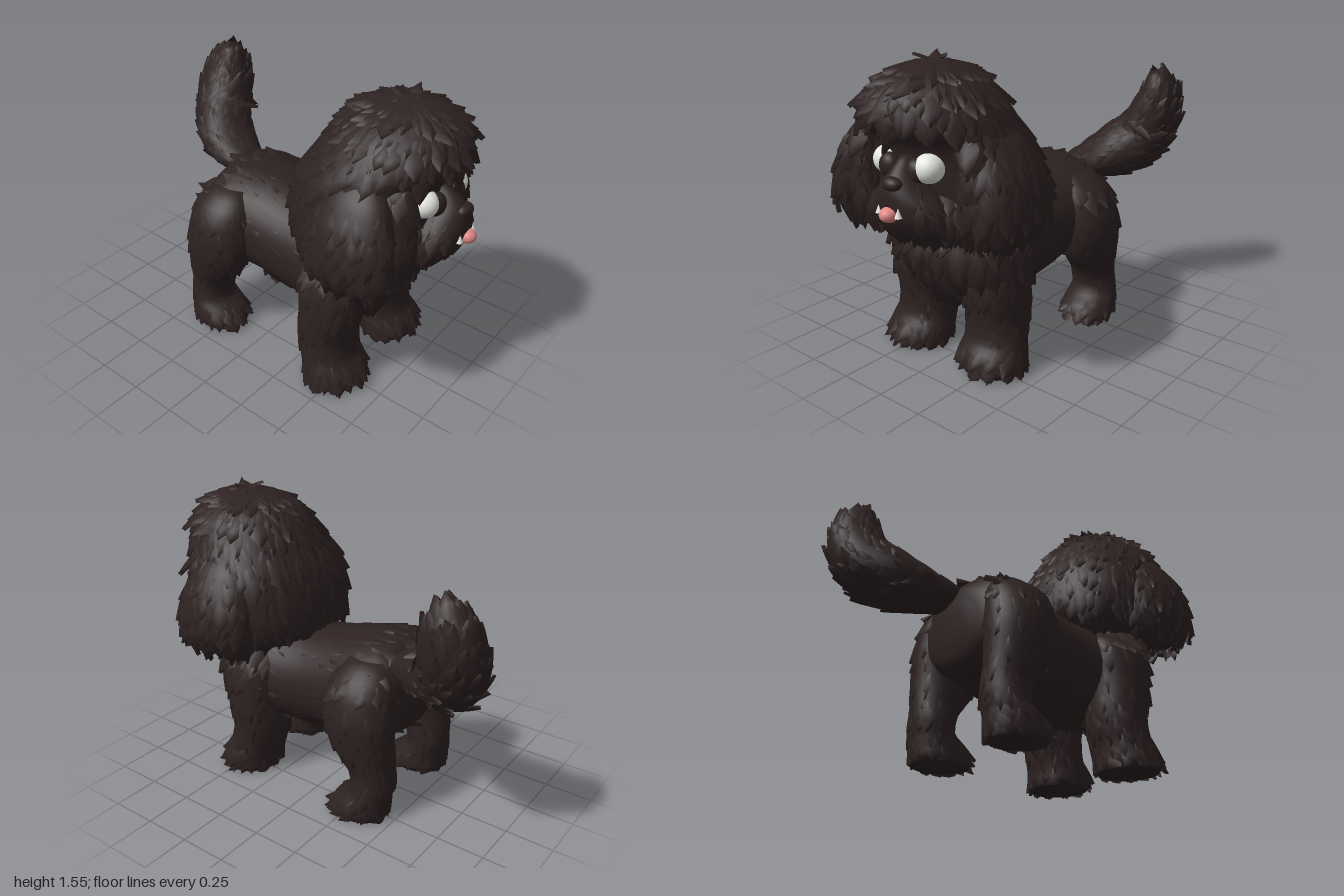
import * as THREE from 'three';
import { mergeGeometries } from 'three/addons/utils/BufferGeometryUtils.js';

const V = (x, y, z) => new THREE.Vector3(x, y, z);
const material = (name, color, extra = {}) => new THREE.MeshStandardMaterial({ name, color, ...extra });

function seeded(seed) {
  return () => {
    seed = (seed * 16807) % 2147483647;
    return seed / 2147483647;
  };
}

// Surface through elliptical rings [x, y, z, radiusU, radiusV].
// Mode 'y': rings lie flat; 'z': rings face forward; 'path': rings follow the curve.
function ringSurface(rows, mode) {
  const spine = new THREE.CatmullRomCurve3(rows.map(r => V(r[0], r[1], r[2])));
  const radii = new THREE.CatmullRomCurve3(rows.map(r => V(r[3], r[4], 0)));
  const point = (t, a, k = 1) => {
    const u = V(1, 0, 0);
    const v = mode === 'z' ? V(0, 1, 0) : V(0, 0, 1);
    if (mode === 'path') {
      const tan = spine.getTangent(t);
      u.addScaledVector(tan, -tan.x).normalize();
      v.crossVectors(tan, u);
    }
    const r = radii.getPoint(t);
    return spine.getPoint(t)
      .addScaledVector(u, r.x * k * Math.cos(a))
      .addScaledVector(v, r.y * k * Math.sin(a));
  };
  const normal = (t, a) => {
    const da = point(t, a + 0.02).sub(point(t, a - 0.02));
    const dt = point(Math.min(1, t + 0.01), a).sub(point(Math.max(0, t - 0.01), a));
    const n = da.cross(dt).normalize();
    return n.dot(point(t, a).sub(spine.getPoint(t))) < 0 ? n.negate() : n;
  };
  return { point, normal };
}

function gridGeometry(rows, flip) {
  const cols = rows[0].length, pos = [], index = [];
  rows.flat().forEach(p => pos.push(p.x, p.y, p.z));
  for (let i = 0; i < rows.length - 1; i++) {
    for (let j = 0; j < cols - 1; j++) {
      const a = i * cols + j, b = a + 1, c = a + cols, d = c + 1;
      index.push(...(flip ? [a, b, c, b, d, c] : [a, c, b, b, c, d]));
    }
  }
  const geo = new THREE.BufferGeometry();
  geo.setAttribute('position', new THREE.Float32BufferAttribute(pos, 3));
  geo.setIndex(index);
  geo.computeVertexNormals();
  return geo;
}

// Smooth closed core under the fur
function coreGeometry(surface, segT = 24, segA = 32) {
  const rows = [];
  for (let i = -1; i <= segT + 1; i++) {
    const t = Math.min(1, Math.max(0, i / segT));
    const k = i < 0 || i > segT ? 0 : 1;
    rows.push(Array.from({ length: segA + 1 }, (_, j) => surface.point(t, j / segA * Math.PI * 2, k)));
  }
  const p = surface.point(0.5, 0);
  const da = surface.point(0.5, 0.1).sub(p), dt = surface.point(0.55, 0).sub(p);
  return gridGeometry(rows, da.cross(dt).dot(surface.normal(0.5, 0)) > 0);
}

// One pointed, ridged lock of hair
function lockGeometry(p, n, dir, length, width, lift) {
  const side = n.clone().cross(dir).normalize();
  const widths = [0.5, 1, 0.75, 0.02];
  const rows = widths.map((w, k) => {
    const s = k / 3;
    const c = p.clone().addScaledVector(dir, length * (s - 0.2))
      .addScaledVector(n, lift * (2.4 * s - 1.6 * s * s) - 0.006);
    return [-1, 0, 1].map(e => {
      const q = c.clone().addScaledVector(side, e * w * width / 2)
        .addScaledVector(n, e ? -0.12 * width : 0.08 * width);
      q.y = Math.max(q.y, 0.012);
      return q;
    });
  });
  return gridGeometry(rows, true);
}

// Core plus staggered rows of locks lying along the surface
function furryGeometry(rows, mode, fur) {
  const surface = ringSurface(rows, mode);
  const parts = [coreGeometry(surface)];
  const rand = seeded(fur.seed);
  const { from = 0.05, to = 0.94, skip = () => false } = fur;
  for (let i = 0; i < fur.rows; i++) {
    for (let j = 0; j < fur.around; j++) {
      const t = from + (to - from) * (i + 0.6 * rand()) / fur.rows;
      const a = (j + (i % 2) / 2 + 0.5 * rand()) / fur.around * Math.PI * 2;
      const size = 0.7 + 0.6 * rand(), sway = (rand() - 0.5) * 0.6;
      const p = surface.point(t, a), n = surface.normal(t, a);
      if (skip(p)) continue;
      const dir = surface.point(Math.min(1, t + 0.02), a).sub(surface.point(t - 0.02, a));
      dir.addScaledVector(n, -dir.dot(n)).normalize().applyAxisAngle(n, sway);
      parts.push(lockGeometry(p, n, dir, fur.length * size, fur.width * size, fur.lift * size));
    }
  }
  return mergeGeometries(parts);
}

export function createModel() {
  const model = new THREE.Group();
  model.name = 'shaggyDog';
  const furMat = material('darkBrownFur', 0x2d2121, { side: THREE.DoubleSide });
  const whiteMat = material('eyeWhite', 0xe6e6e2);
  const tongueMat = material('pinkTongue', 0xdd8785);

  const add = (name, geo, mat) => {
    const mesh = new THREE.Mesh(geo, mat);
    mesh.name = name;
    model.add(mesh);
    return mesh;
  };
  const furry = (name, rows, mode, fur) => add(name, furryGeometry(rows, mode, fur), furMat);
  const ball = (name, mat, pos, size) => {
    const mesh = add(name, new THREE.SphereGeometry(1, 24, 16), mat);
    mesh.position.set(...pos);
    mesh.scale.set(...size);
  };

  // Trunk, sleek and widening into the hips
  furry('body', [
    [0, 0.62, 0.66, 0.13, 0.13], [0, 0.61, 0.58, 0.27, 0.25], [0, 0.57, 0.4, 0.32, 0.28],
    [0, 0.565, 0.15, 0.295, 0.285], [0, 0.605, -0.08, 0.305, 0.285], [-0.01, 0.64, -0.26, 0.35, 0.275],
    [-0.01, 0.645, -0.38, 0.335, 0.25], [0, 0.635, -0.45, 0.24, 0.185], [0, 0.63, -0.475, 0.1, 0.08],
  ], 'z', { rows: 10, around: 16, length: 0.16, width: 0.11, lift: 0, to: 0.72, seed: 11 });

  // Shaggy chest and shoulders
  furry('chestRuff', [
    [0, 0.86, 0.45, 0.2, 0.16], [0, 0.75, 0.47, 0.32, 0.22], [0, 0.62, 0.475, 0.355, 0.23],
    [0, 0.5, 0.45, 0.345, 0.2], [0, 0.39, 0.43, 0.29, 0.15], [0, 0.33, 0.42, 0.2, 0.1],
  ], 'y', { rows: 8, around: 22, length: 0.17, width: 0.1, lift: 0.016, to: 0.86, seed: 23 });

  // Legs with broad paws
  for (const s of [1, -1]) {
    const side = s > 0 ? 'left' : 'right';
    const place = rows => rows.map(([x, ...rest]) => [s * x - 0.015, ...rest]);
    furry(side + 'FrontLeg', place([
      [0.18, 0.78, 0.4, 0.05, 0.07], [0.23, 0.66, 0.41, 0.14, 0.155], [0.24, 0.46, 0.43, 0.165, 0.165],
      [0.235, 0.29, 0.415, 0.165, 0.15], [0.24, 0.18, 0.43, 0.165, 0.14], [0.245, 0.11, 0.46, 0.175, 0.155],
      [0.25, 0.05, 0.47, 0.18, 0.16], [0.25, 0.015, 0.47, 0.16, 0.145],
    ]), 'y', { rows: 10, around: 12, length: 0.12, width: 0.08, lift: 0.006, from: 0.1, to: 0.86, seed: 31 + s });
    furry(side + 'HindLeg', place([
      [0.2, 0.84, -0.28, 0.07, 0.1], [0.25, 0.74, -0.28, 0.14, 0.17], [0.285, 0.57, -0.285, 0.155, 0.19],
      [0.285, 0.41, -0.305, 0.14, 0.17], [0.275, 0.27, -0.36, 0.12, 0.12], [0.28, 0.17, -0.365, 0.125, 0.11],
      [0.285, 0.1, -0.32, 0.14, 0.15], [0.285, 0.045, -0.305, 0.145, 0.16], [0.285, 0.015, -0.305, 0.13, 0.145],
    ]), 'y', { rows: 10, around: 12, length: 0.11, width: 0.08, lift: 0.004, from: 0.1, to: 0.86, seed: 41 + s });
  }

  // Upswept plume tail
  furry('tail', [
    [0.07, 0.81, -0.4, 0.1, 0.065], [0.115, 0.83, -0.54, 0.14, 0.095], [0.185, 0.87, -0.68, 0.16, 0.14],
    [0.28, 0.95, -0.79, 0.155, 0.165], [0.345, 1.08, -0.82, 0.14, 0.16],
    [0.37, 1.2, -0.81, 0.11, 0.13], [0.365, 1.32, -0.78, 0.045, 0.05],
  ], 'path', { rows: 14, around: 12, length: 0.13, width: 0.075, lift: 0.008, seed: 53 });

  // Domed head of hair, kept clear around the face
  furry('head', [
    [0.02, 1.535, 0.62, 0.03, 0.04], [0.02, 1.49, 0.615, 0.16, 0.185], [0.01, 1.4, 0.61, 0.285, 0.29],
    [0, 1.28, 0.58, 0.37, 0.34], [0, 1.17, 0.5, 0.42, 0.33], [0, 1, 0.47, 0.45, 0.35],
    [0, 0.88, 0.465, 0.44, 0.35], [0, 0.78, 0.49, 0.38, 0.3], [0, 0.72, 0.52, 0.24, 0.18],
  ], 'y', {
    rows: 15, around: 30, length: 0.15, width: 0.1, lift: 0.004, from: 0.04, to: 0.88, seed: 61,
    skip: p => p.z > 0.6 && Math.abs(p.x - 0.05) < 0.22 && p.y < 1.28 && p.y > 0.85,
  });

  // Crown sprout, drooping from the parting
  const sprout = [];
  for (let i = 0; i < 9; i++) {
    const a = i / 9 * Math.PI * 2, rise = i % 3 ? -0.1 : 0.35;
    const out = V(Math.cos(a), rise, Math.sin(a)).normalize();
    const up = V(-rise * Math.cos(a), 1, -rise * Math.sin(a)).normalize();
    sprout.push(lockGeometry(V(0.03, 1.525, 0.62), up, out, 0.12, 0.07, 0.012));
  }
  add('crownSprout', mergeGeometries(sprout), furMat);

  // Long-haired ears and the cheek hair framing the face; the head turns slightly to its left
  for (const s of [1, -1]) {
    const side = s > 0 ? 'left' : 'right';
    const z = s > 0 ? 0.53 : 0.62;
    furry(side + 'Ear', [
      [s * 0.31, 1.28, z, 0.03, 0.06], [s * 0.35, 1.18, z, 0.09, 0.16], [s * 0.395, 1.03, z, 0.125, 0.215],
      [s * 0.41, 0.9, z, 0.13, 0.225], [s * 0.395, 0.79, z, 0.11, 0.19], [s * 0.36, 0.74, z, 0.06, 0.12],
    ], 'y', { rows: 8, around: 15, length: 0.14, width: 0.09, lift: 0.006, from: 0.25, to: 0.84, seed: 71 + s });
    const x = 0.04 + s * 0.29;
    furry(side + 'CheekHair', [
      [x - s * 0.04, 1.3, z + 0.06, 0.04, 0.08], [x, 1.2, z + 0.05, 0.08, 0.17], [x, 1.05, z + 0.05, 0.1, 0.19],
      [x, 0.9, z + 0.05, 0.12, 0.19], [x - s * 0.02, 0.8, z + 0.05, 0.11, 0.16], [x - s * 0.04, 0.75, z + 0.05, 0.06, 0.1],
    ], 'y', { rows: 8, around: 13, length: 0.14, width: 0.09, lift: 0.006, from: 0.15, to: 0.84, seed: 91 + s });
  }

  // Broad beard joining muzzle and cheeks
  furry('beard', [
    [0.04, 1.02, 0.66, 0.16, 0.12], [0.04, 0.95, 0.67, 0.25, 0.18], [0.04, 0.86, 0.67, 0.28, 0.2],
    [0.04, 0.77, 0.66, 0.24, 0.18], [0.03, 0.725, 0.64, 0.14, 0.11],
  ], 'y', { rows: 6, around: 20, length: 0.12, width: 0.08, lift: 0.008, seed: 79, to: 0.84 });

  // Muzzle, bare around the mouth
  furry('muzzle', [
    [0.055, 1.14, 0.8, 0.03, 0.05], [0.06, 1.07, 0.825, 0.07, 0.1], [0.06, 1.01, 0.825, 0.12, 0.13],
    [0.06, 0.94, 0.82, 0.18, 0.14], [0.06, 0.86, 0.795, 0.2, 0.15], [0.06, 0.78, 0.75, 0.18, 0.14],
    [0.05, 0.73, 0.71, 0.1, 0.08],
  ], 'y', {
    rows: 8, around: 18, length: 0.1, width: 0.06, lift: 0.006, from: 0.22, to: 0.86, seed: 83,
    skip: p => p.z > 0.85 && Math.abs(p.x - 0.06) < 0.12 && p.y > 0.86,
  });
  ball('nose', furMat, [0.07, 1.035, 0.925], [0.055, 0.035, 0.04]);
  ball('tongue', tongueMat, [0.072, 0.905, 0.95], [0.043, 0.036, 0.05]);

  // Eyes with large irises, and small upward fangs
  for (const s of [1, -1]) {
    const side = s > 0 ? 'left' : 'right';
    ball(side + 'Eye', whiteMat, [0.043 + s * 0.128, 1.095, 0.8], [0.07, 0.067, 0.072]);
    ball(side + 'Iris', furMat, [0.045 + s * 0.083, 1.083, 0.838], [0.054, 0.058, 0.044]);
    const fang = add(side + 'Fang', new THREE.ConeGeometry(0.018, 0.045, 10), whiteMat);
    fang.position.set(0.067 + s * 0.06, 0.922, 0.95);
  }
  return model;
}
